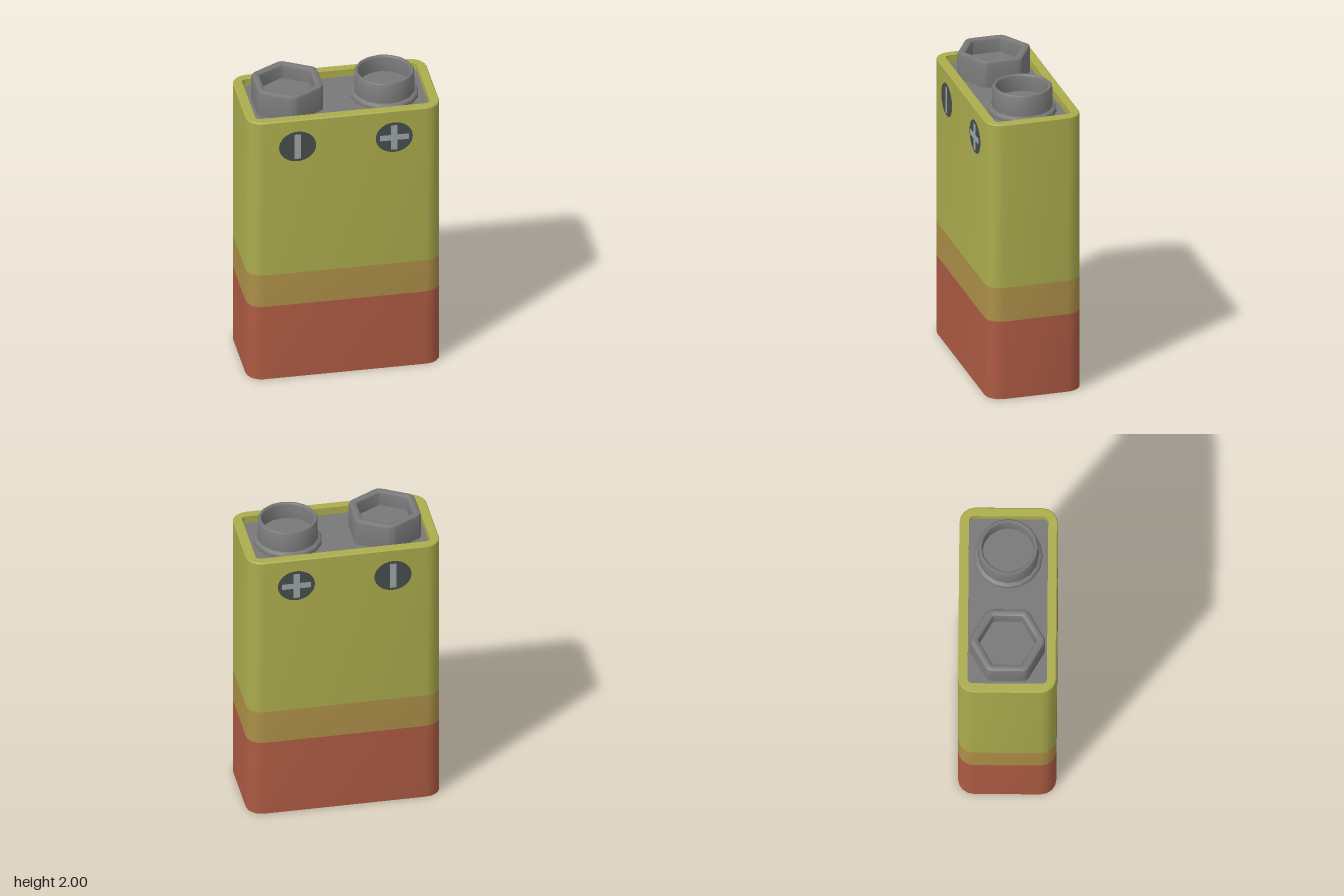
import * as THREE from 'three';
import { toCreasedNormals } from 'three/addons/utils/BufferGeometryUtils.js';

const mat = (name, color, side = THREE.FrontSide) => {
  const m = new THREE.MeshStandardMaterial({ color, side });
  m.name = name;
  return m;
};

// Convex outline with rounded corners: core corners at the given angles, each with an arc of radius r
function roundedOutline(cores, span, r, steps) {
  const points = [];
  for (const [x, z, angle] of cores) {
    for (let i = 0; i <= steps; i++) {
      const a = angle + span * (i / steps - 0.5);
      points.push([x + r * Math.cos(a), z + r * Math.sin(a)]);
    }
  }
  return points;
}

function rectOutline(hx, hz, r) {
  const cores = [[1, 1], [-1, 1], [-1, -1], [1, -1]].map(([sx, sz], k) =>
    [sx * (hx - r), sz * (hz - r), Math.PI / 4 + k * Math.PI / 2]);
  return roundedOutline(cores, Math.PI / 2, r, 4);
}

function hexOutline(apothem, r) {
  const R = (apothem - r) / Math.cos(Math.PI / 6);
  const cores = [0, 1, 2, 3, 4, 5].map((k) => {
    const a = Math.PI / 6 + k * Math.PI / 3;
    return [R * Math.cos(a), R * Math.sin(a), a];
  });
  return roundedOutline(cores, Math.PI / 3, r, 3);
}

// Skin between outlines stacked at heights: rings = [[outline, y], ...]
function loft(rings) {
  const pos = [];
  for (let k = 0; k < rings.length - 1; k++) {
    const [lo, y0] = rings[k], [hi, y1] = rings[k + 1];
    for (let i = 0; i < lo.length; i++) {
      const j = (i + 1) % lo.length;
      const A = [lo[i][0], y0, lo[i][1]], B = [lo[j][0], y0, lo[j][1]];
      const C = [hi[j][0], y1, hi[j][1]], D = [hi[i][0], y1, hi[i][1]];
      pos.push(...A, ...D, ...B);
      if (Math.hypot(C[0] - D[0], C[2] - D[2]) > 1e-6) pos.push(...B, ...D, ...C);
    }
  }
  const g = new THREE.BufferGeometry();
  g.setAttribute('position', new THREE.Float32BufferAttribute(pos, 3));
  return toCreasedNormals(g, 0.7);
}

export function createModel() {
  const model = new THREE.Group();
  model.name = 'battery';

  const olive = mat('olive', 0xacad4d, THREE.DoubleSide);
  const tan = mat('tan', 0xad8f48, THREE.DoubleSide);
  const red = mat('brick red', 0xae5b43, THREE.DoubleSide);
  const grey = mat('metal grey', 0x787878, THREE.DoubleSide);
  const dark = mat('dark slate', 0x474d4d);
  const pale = mat('pale grey', 0x9ea6a5);

  const add = (name, geometry, material, parent = model) => {
    const mesh = new THREE.Mesh(geometry, material);
    mesh.name = name;
    parent.add(mesh);
    return mesh;
  };

  // Hollow casing in three bands, open at the bottom
  const top = 1.875, deck = 1.825;
  const outer = rectOutline(0.62, 0.31, 0.1);
  const inner = rectOutline(0.56, 0.25, 0.03);
  add('lowerBand', loft([[outer, 0], [outer, 0.53]]), red);
  add('middleBand', loft([[outer, 0.53], [outer, 0.76]]), tan);
  add('upperCasing', loft([
    [outer, 0.76], [outer, top - 0.006], [rectOutline(0.614, 0.304, 0.094), top],
    [inner, top], [inner, deck],
  ]), olive);

  // Recessed top panel
  const centre = inner.map(() => [0, 0]);
  add('topPanel', loft([[inner, deck], [centre, deck]]), grey);

  // Hexagonal terminal cup
  const hexOuter = hexOutline(0.213, 0.05);
  const hexInner = hexOutline(0.158, 0.015);
  const hex = add('hexTerminal', loft([
    [hexOuter, deck], [hexOuter, 1.978], [hexOutline(0.207, 0.046), 1.993], [hexOutline(0.193, 0.038), 2],
    [hexOutline(0.178, 0.028), 2], [hexOutline(0.164, 0.02), 1.992], [hexInner, 1.975],
    [hexInner, 1.9], [hexInner.map(() => [0, 0]), 1.9],
  ]), grey);
  hex.position.x = -0.313;

  // Round terminal cup with a flange at its foot
  const profile = [
    [0.217, deck], [0.217, 1.847], [0.209, 1.857], [0.193, 1.862], [0.191, 1.99], [0.184, 2],
    [0.172, 2], [0.165, 1.99], [0.165, 1.89], [0, 1.89],
  ].map(([x, y]) => new THREE.Vector2(x, y));
  const round = add('roundTerminal', toCreasedNormals(new THREE.LatheGeometry(profile, 16), 0.7), grey);
  round.position.x = 0.31;

  // Polarity marks on the front and back
  const disc = new THREE.CircleGeometry(1, 32).scale(0.119, 0.108, 1);
  const upright = new THREE.PlaneGeometry(0.042, 0.178);
  const crossbar = new THREE.PlaneGeometry(0.186, 0.04);
  for (const side of [1, -1]) {
    for (const [label, x] of [['minus', -0.305], ['plus', 0.315]]) {
      const mark = new THREE.Group();
      mark.name = `${label}Mark${side > 0 ? 'Front' : 'Back'}`;
      mark.position.set(x, 1.685, side * 0.312);
      if (side < 0) mark.rotation.y = Math.PI;
      add('markDisc', disc, dark, mark);
      add('markUpright', upright, pale, mark).position.z = 0.003;
      if (label === 'plus') add('markCrossbar', crossbar, pale, mark).position.z = 0.0035;
      model.add(mark);
    }
  }
  return model;
}
